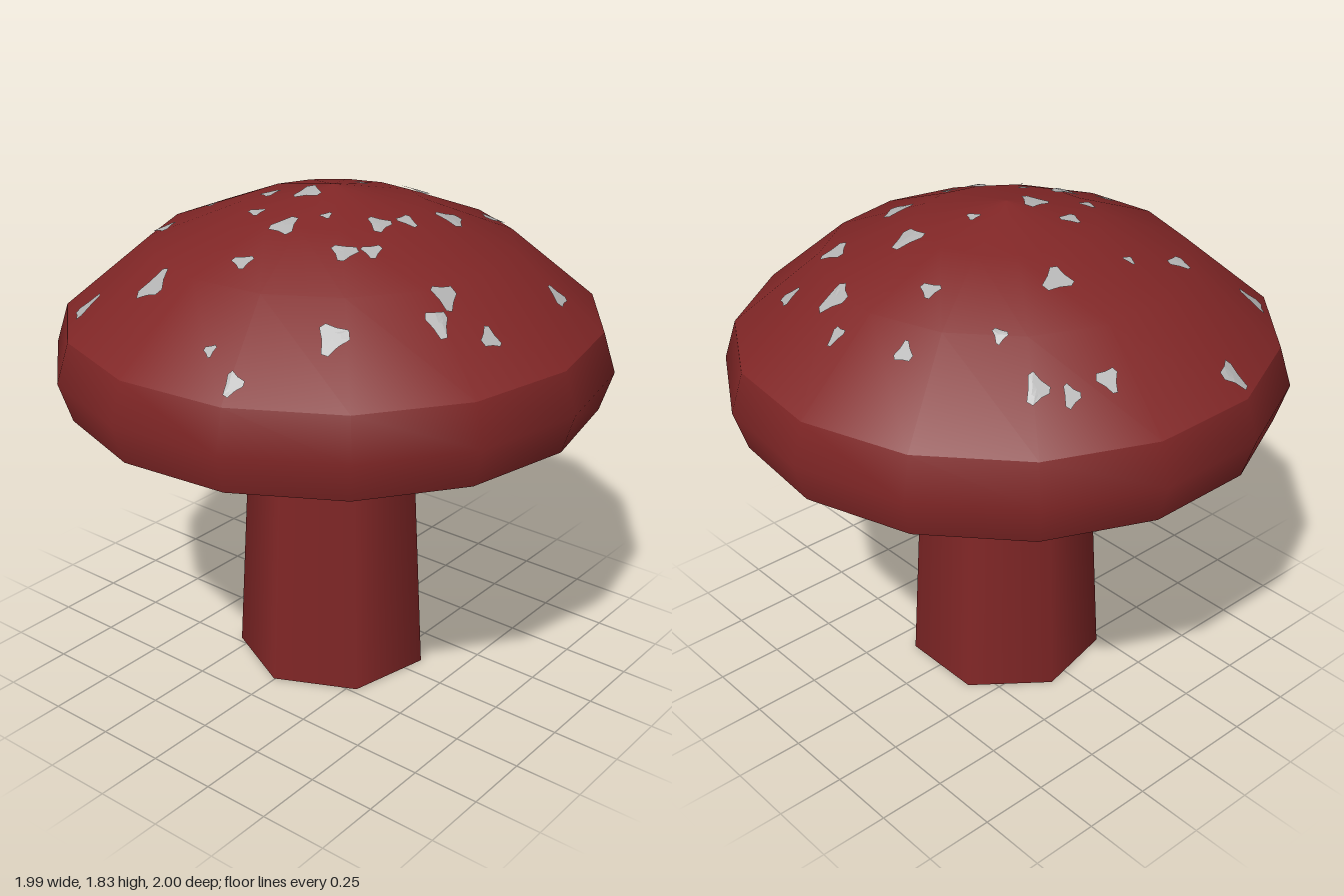
import * as THREE from 'three';

const SIDES = 15;
const CAP_X = -0.011; // an odd number of sides shifts the axis slightly

// Cap profiles as [radius, height], from bottom to top
const UNDER = [[0, 0.865], [0.32, 0.888], [0.645, 0.936], [0.96, 1.086]];
const RIM = [[0.96, 1.086], [1.0055, 1.23], [0.96, 1.374]];
const TOP = [[0.96, 1.374], [0.645, 1.636], [0.32, 1.762], [0, 1.828]];

// Spots: x, z, size, direction of the pointed end in degrees (0 = +x, 90 = +z)
const SPOTS = [
  -0.01, -0.73, 0.03, -90, -0.27, -0.66, 0.032, 180, 0.11, -0.64, 0.052, -60, 0.37, -0.65, 0.037, 0,
  -0.65, -0.45, 0.042, -110, -0.47, -0.44, 0.026, 0, -0.72, -0.37, 0.032, -120, -0.17, -0.47, 0.036, 0,
  0.34, -0.47, 0.05, 70, 0.1, -0.34, 0.056, -90, -0.75, -0.24, 0.037, -50, 0.74, -0.28, 0.038, 50,
  -0.42, -0.15, 0.053, -95, 0, -0.14, 0.025, 0, 0.36, -0.18, 0.055, -100, 0.32, 0.02, 0.036, 0,
  -0.05, 0.09, 0.054, -120, -0.2, 0.12, 0.036, -70, 0.28, 0.12, 0.046, 60, -0.45, 0.15, 0.021, 180,
  0.12, 0.2, 0.022, -90, -0.88, 0.2, 0.046, 150, 0.77, 0.18, 0.036, 90, 0.62, 0.22, 0.045, -90,
  0.66, 0.31, 0.043, 30, 0.35, 0.25, 0.036, -80, 0.29, 0.32, 0.045, -60, 0.04, 0.32, 0.052, -90,
  -0.12, 0.28, 0.03, 180, -0.5, 0.34, 0.04, -80, 0.03, 0.52, 0.037, 180, 0.46, 0.59, 0.05, -45,
];
const RIM_SPOTS = [-0.57, 0.67, 0.048, -50, -0.24, 0.66, 0.054, 150, 0.14, 0.8, 0.021, 180, 0.28, 0.85, 0.035, 90];

// Height of the faceted cap surface above or below a point
function surfaceY(profile, x, z) {
  const step = (Math.PI * 2) / SIDES;
  const a = Math.atan2(z, x);
  const facet = (Math.floor(a / step) + 0.5) * step;
  const r = Math.hypot(x, z) * Math.cos(a - facet) / Math.cos(step / 2);
  const p = [...profile].sort((m, n) => m[0] - n[0]);
  for (let i = 1; i < p.length; i++) {
    if (r <= p[i][0]) {
      return THREE.MathUtils.mapLinear(r, p[i - 1][0], p[i][0], p[i - 1][1], p[i][1]);
    }
  }
  return p[p.length - 1][1];
}

// All spots on one face of the cap, draped just off its surface (side: +1 top, -1 underside)
function spotGeometry(profile, side) {
  const pos = [];
  // blunt triangle as [angle, radius]
  const outline = [[-14, 1.1], [14, 1.1], [62, 0.62], [112, 1], [138, 1.05], [180, 0.65], [226, 1.05], [250, 0.95], [300, 0.6]];
  const all = [...SPOTS, ...RIM_SPOTS];
  for (let i = 0; i < all.length; i += 4) {
    const [x, z, size, dir] = all.slice(i, i + 4);
    const point = (k, scale) => {
      const [deg, rad] = outline[k % outline.length];
      const a = THREE.MathUtils.degToRad(deg + dir);
      const px = x - CAP_X + Math.cos(a) * rad * size * scale;
      const pz = z + Math.sin(a) * rad * size * scale;
      return [px, surfaceY(profile, px, pz) + side * 0.007, pz];
    };
    const tri = (a, b, c) => pos.push(...a, ...(side > 0 ? c : b), ...(side > 0 ? b : c));
    for (let k = 0; k < outline.length; k++) {
      const a = point(k, 0.5), b = point(k + 1, 0.5), c = point(k, 1), d = point(k + 1, 1);
      tri(point(k, 0), a, b);
      tri(a, c, d);
      tri(a, d, b);
    }
  }
  const g = new THREE.BufferGeometry();
  g.setAttribute('position', new THREE.Float32BufferAttribute(pos, 3));
  g.computeVertexNormals();
  return g;
}

export function createModel() {
  const red = new THREE.MeshStandardMaterial({ color: 0x802626 });
  red.name = 'dark red';
  const grey = new THREE.MeshStandardMaterial({ color: 0xb4b4b4 });
  grey.name = 'spot grey';

  const model = new THREE.Group();
  model.name = 'mushroom';
  const add = (parent, name, geometry, material) => {
    const mesh = new THREE.Mesh(geometry, material);
    mesh.name = name;
    parent.add(mesh);
    return mesh;
  };

  // Tapered seven-sided stem, its top hidden inside the cap
  const stem = add(model, 'stem', new THREE.CylinderGeometry(0.316, 0.367, 0.92, 7), red);
  stem.position.set(-0.005, 0.46, 0);

  // Cap: three smooth bands meeting at sharp edges
  const cap = new THREE.Group();
  cap.name = 'cap';
  cap.position.x = CAP_X;
  model.add(cap);
  const bands = { capUnderside: UNDER, capRim: RIM, capTop: [...TOP] };
  for (const [name, profile] of Object.entries(bands)) {
    const points = profile.map(([r, y]) => new THREE.Vector2(r, y));
    add(cap, name, new THREE.LatheGeometry(points, SIDES, Math.PI / 2), red);
  }

  // Spots on both faces of the cap
  add(cap, 'topSpots', spotGeometry(TOP, 1), grey);
  add(cap, 'undersideSpots', spotGeometry(UNDER, -1), grey);
  return model;
}
